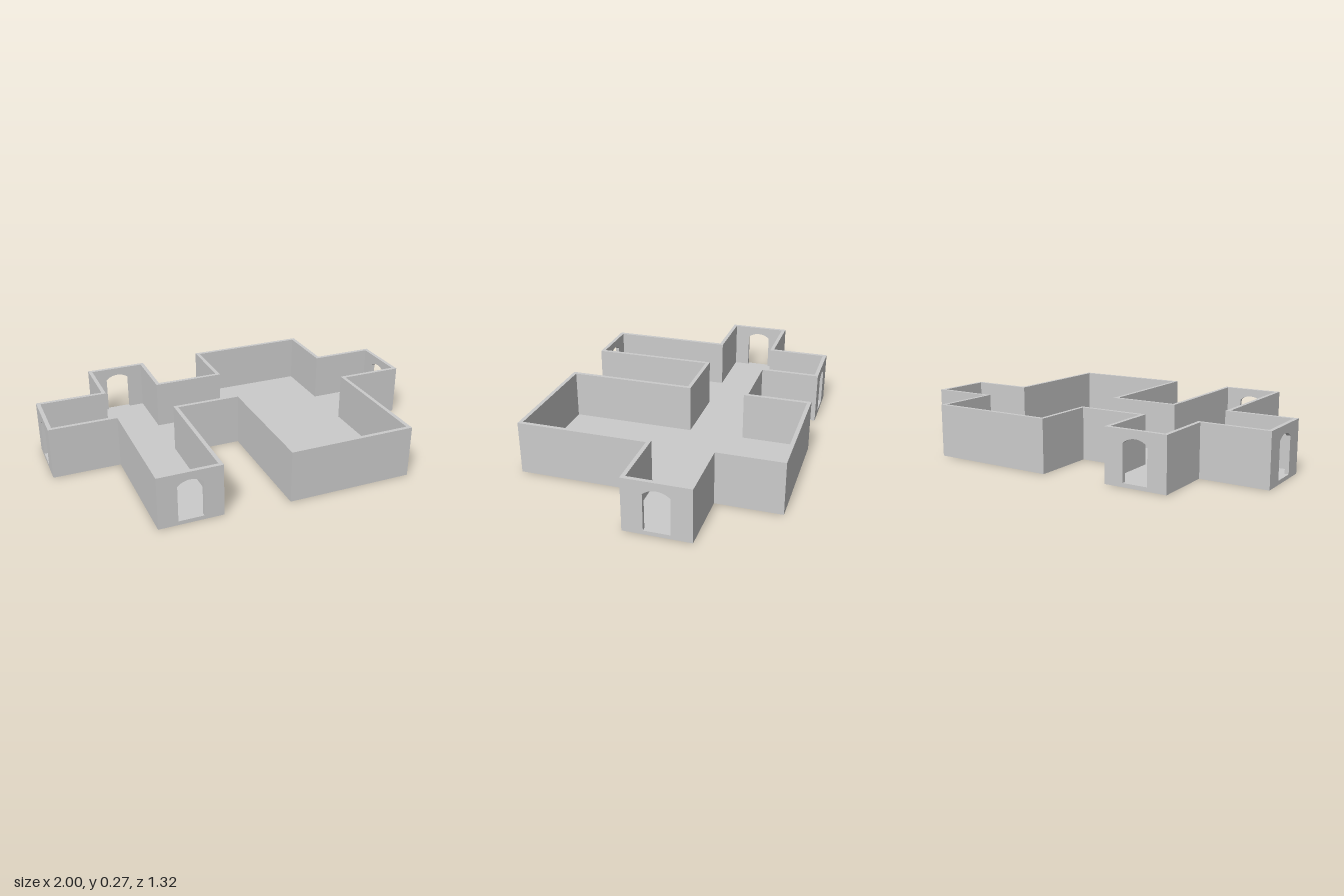
import * as THREE from 'three';

const T = 0.02;      // wall and floor thickness
const H = 0.27;      // wall height
const DOOR = { half: 0.064, spring: 0.205, apex: 0.23 };

// outer outline (x, z), counter-clockwise seen from above
const OUTLINE = [
  [-0.65, 0.64], [-0.325, 0.64], [-0.325, 0], [0.01, 0], [0.01, 0.66],
  [0.667, 0.66], [0.667, 0], [1, 0], [1, -0.33], [0.667, -0.33],
  [0.667, -0.66], [0.01, -0.66], [0.01, -0.33], [-0.325, -0.33], [-0.325, -0.64],
  [-0.65, -0.64], [-0.65, -0.33], [-1, -0.33], [-1, 0], [-0.65, 0],
];
// walls with a doorway, by the outline corner they start from
const DOORWAYS = { 0: 'frontDoorWall', 7: 'leftDoorWall', 14: 'backDoorWall', 17: 'rightDoorWall' };

// segmental-arched opening centred on cx
function doorway(cx) {
  const { half, spring, apex } = DOOR;
  const rise = apex - spring;
  const r = (half * half + rise * rise) / (2 * rise);
  const a = Math.asin(half / r);
  const path = new THREE.Path();
  path.moveTo(cx - half, T);
  path.lineTo(cx + half, T);
  path.lineTo(cx + half, spring);
  path.absarc(cx, apex - r, r, Math.PI / 2 - a, Math.PI / 2 + a, false);
  path.lineTo(cx - half, T);
  return path;
}

// wall slab along +x, outer face at z = T, inner face mitred at both ends
function wallGeometry(length, startTurn, endTurn, hasDoor) {
  const shape = new THREE.Shape([
    new THREE.Vector2(0, 0), new THREE.Vector2(length, 0),
    new THREE.Vector2(length, H), new THREE.Vector2(0, H),
  ]);
  if (hasDoor) shape.holes.push(doorway(length / 2));
  const geo = new THREE.ExtrudeGeometry(shape, { depth: T, bevelEnabled: false, curveSegments: 16 });
  const pos = geo.attributes.position;
  for (let i = 0; i < pos.count; i++) {
    if (pos.getZ(i) > T / 2) continue;
    const x = pos.getX(i);
    if (x < 1e-5) pos.setX(i, startTurn * T);
    else if (x > length - 1e-5) pos.setX(i, length - endTurn * T);
  }
  geo.computeVertexNormals();
  return geo;
}

export function createModel() {
  const group = new THREE.Group();
  group.name = 'floorPlan';
  const material = new THREE.MeshStandardMaterial({ color: 0xcccccc });
  const n = OUTLINE.length;

  const edges = OUTLINE.map(([x, z], i) => {
    const [x2, z2] = OUTLINE[(i + 1) % n];
    const length = Math.hypot(x2 - x, z2 - z);
    return { x, z, length, dx: (x2 - x) / length, dz: (z2 - z) / length };
  });
  // +1 at an outward corner, -1 at a recessed one
  const turns = edges.map((e, i) => {
    const p = edges[(i + n - 1) % n];
    return Math.sign(p.dz * e.dx - p.dx * e.dz);
  });

  // walls
  const floorPoints = [];
  edges.forEach((e, i) => {
    const geo = wallGeometry(e.length, turns[i], turns[(i + 1) % n], i in DOORWAYS);
    const wall = new THREE.Mesh(geo, material);
    wall.name = DOORWAYS[i] ?? `wall${i}`;
    wall.rotation.y = Math.atan2(-e.dz, e.dx);
    wall.position.set(e.x + e.dz * T, 0, e.z - e.dx * T);
    group.add(wall);
    floorPoints.push(new THREE.Vector2(
      e.x + (e.dz + e.dx * turns[i]) * T,
      -(e.z + (-e.dx + e.dz * turns[i]) * T),
    ));
  });

  // floor slab inside the walls
  const floorGeo = new THREE.ExtrudeGeometry(new THREE.Shape(floorPoints), { depth: T, bevelEnabled: false });
  floorGeo.rotateX(-Math.PI / 2);
  const floor = new THREE.Mesh(floorGeo, material);
  floor.name = 'floor';
  group.add(floor);

  return group;
}
